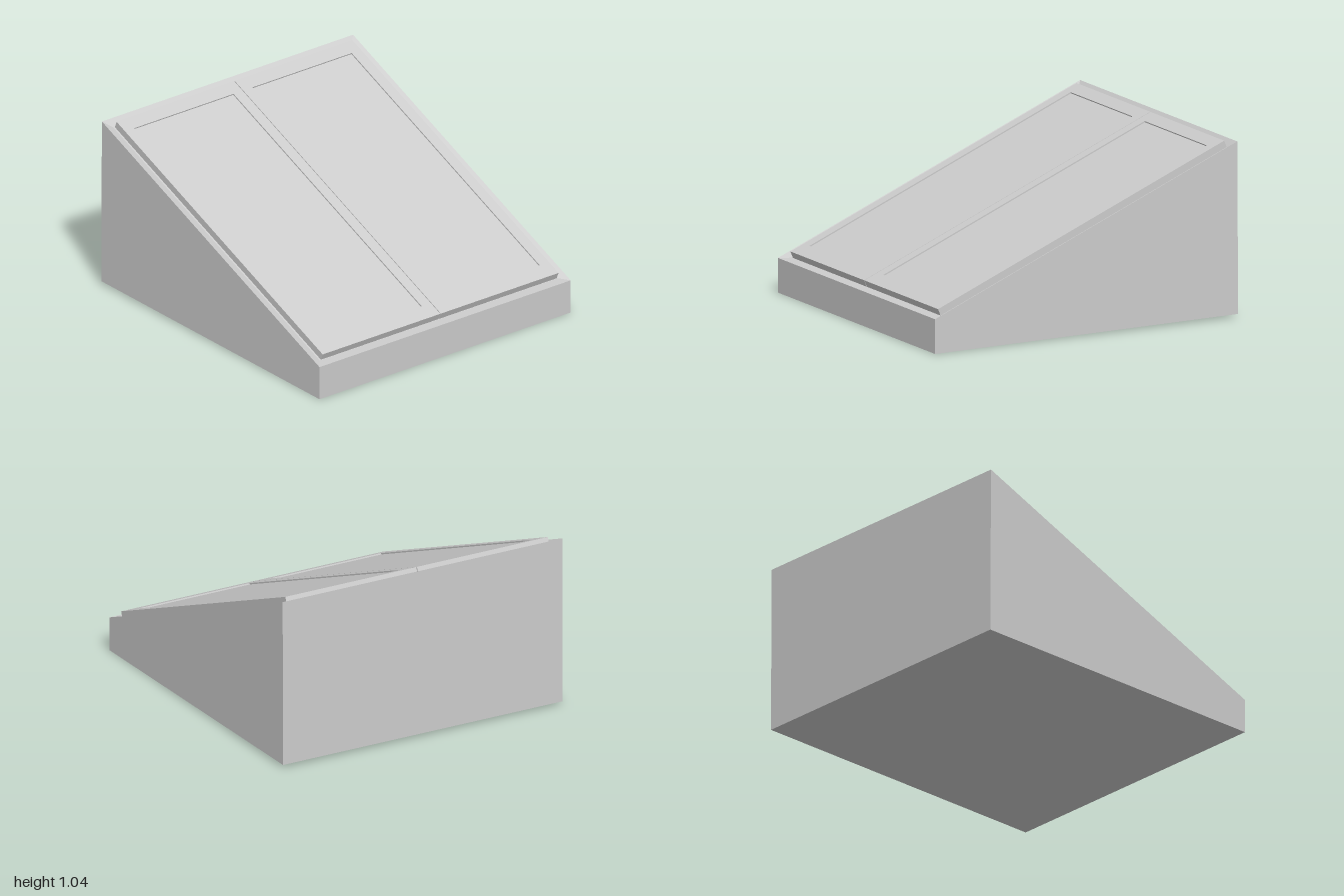
import * as THREE from 'three';

const material = new THREE.MeshStandardMaterial({ color: 0xcccccc, flatShading: true });
const slope = Math.atan2(0.835, 1.995);

function named(name, geometry) {
  const mesh = new THREE.Mesh(geometry, material);
  mesh.name = name;
  return mesh;
}

// Four corners, counter-clockwise from above: front left of picture first
function ring(x, front, back) {
  return [[-x, front], [x, front], [x, back], [-x, back]]
    .map(([px, [y, z]]) => new THREE.Vector3(px, y, z));
}

function rectangle(target, x0, x1, y0, y1) {
  target.moveTo(x0, y0).lineTo(x1, y0).lineTo(x1, y1).lineTo(x0, y1).closePath();
  return target;
}

// Slanted housing: walls, inward-sloping rim, recessed floor and underside
function housing(deckMatrix) {
  const bottom = ring(0.932, [0, 1], [0.02, -1]);
  const top = ring(0.932, [0.205, 1], [1.04, -0.995]);
  const inner = [[-0.88, -1.022], [0.886, -1.022], [0.886, 1.03], [-0.88, 1.03]]
    .map(([x, y]) => new THREE.Vector3(x, y, -0.02).applyMatrix4(deckMatrix));
  const points = [];
  const quad = (a, b, c, d) => points.push(a, b, c, a, c, d);
  for (const [low, high] of [[bottom, top], [top, inner]]) {
    for (let i = 0; i < 4; i++) {
      const j = (i + 1) % 4;
      quad(low[i], low[j], high[j], high[i]);
    }
  }
  quad(...inner);
  quad(bottom[3], bottom[2], bottom[1], bottom[0]);
  const geometry = new THREE.BufferGeometry().setFromPoints(points);
  geometry.computeVertexNormals();
  return named('housing', geometry);
}

// Door leaf: a raised frame around a slightly sunken panel
function door(name, x) {
  const leaf = new THREE.Group();
  leaf.name = name;
  const shape = rectangle(new THREE.Shape(), -0.4365, 0.4365, -1.02, 1.028);
  shape.holes.push(rectangle(new THREE.Path(), -0.3685, 0.3685, -0.925, 0.944));
  const frame = named('doorFrame',
    new THREE.ExtrudeGeometry(shape, { depth: 0.043, bevelEnabled: false }));
  frame.position.z = -0.02;
  const panel = named('doorPanel', new THREE.BoxGeometry(0.737, 1.869, 0.035));
  panel.position.set(0, 0.0095, -0.0025);
  leaf.add(frame, panel);
  leaf.position.x = x;
  return leaf;
}

export function createModel() {
  const model = new THREE.Group();
  model.name = 'cellarDoors';

  // Local frame of the slanted top: y runs up the slope, z points out of it
  const deck = new THREE.Group();
  deck.name = 'doors';
  deck.position.set(0, 0.6225, 0.0025);
  deck.rotation.x = slope - Math.PI / 2;
  deck.updateMatrix();

  deck.add(door('rightDoor', -0.433), door('leftDoor', 0.444));
  model.add(housing(deck.matrix), deck);
  return model;
}
